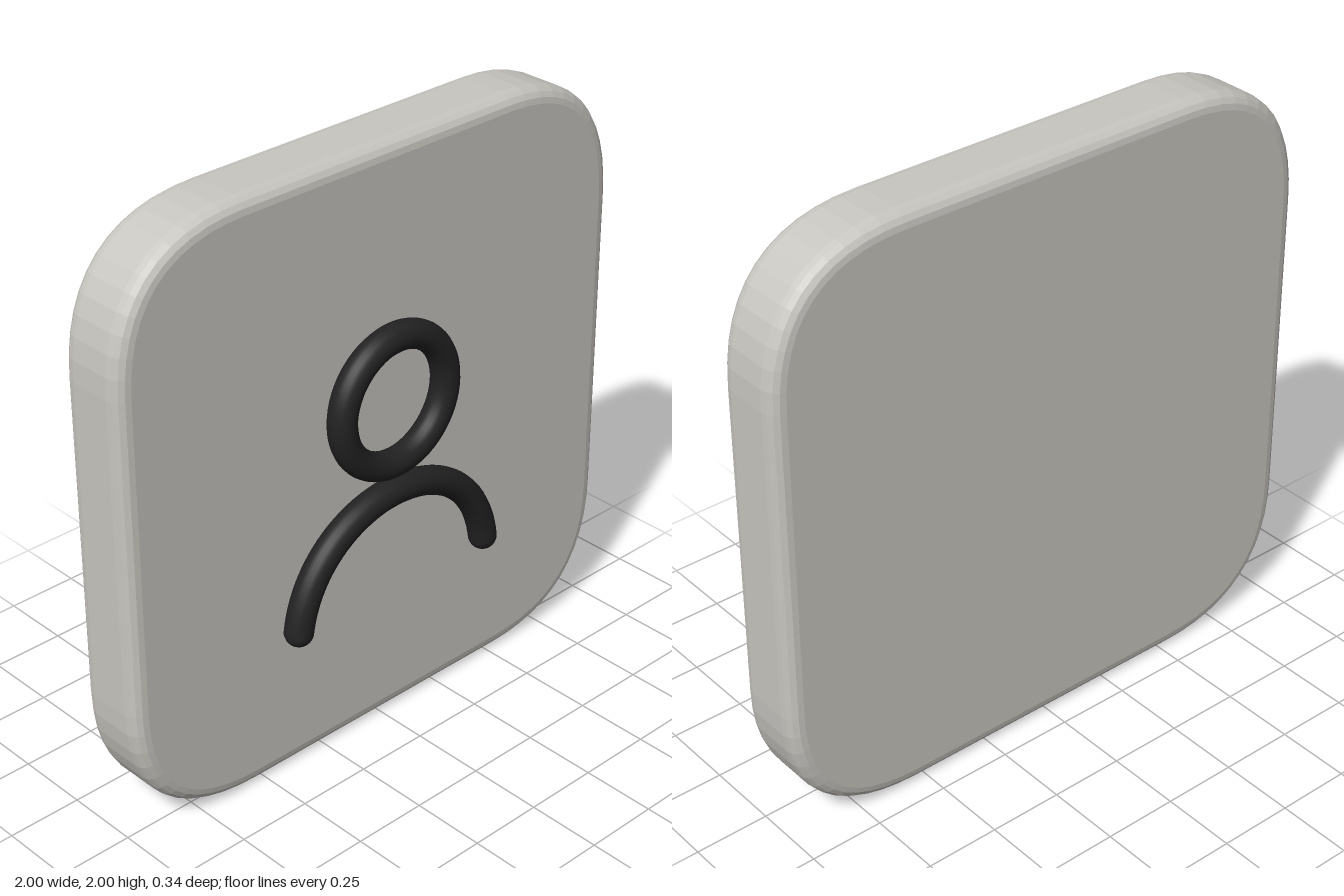
import * as THREE from 'three';

const stone = new THREE.MeshStandardMaterial({ color: 0xc8c6c0 });
stone.name = 'warm grey';
const ink = new THREE.MeshStandardMaterial({ color: 0x222222 });
ink.name = 'near black';

const BEVEL = 0.05, BACK = -0.172, FRONT = 0.072;
const TUBE = 0.047, ICON_Z = 0.123;

function add(parent, name, geometry, material, x = 0, y = 0, z = 0) {
  const mesh = new THREE.Mesh(geometry, material);
  mesh.name = name;
  mesh.position.set(x, y, z);
  parent.add(mesh);
  return mesh;
}

// Square outline with soft quadratic corners, centred on the origin
function softSquare(h, r) {
  const s = new THREE.Shape();
  s.moveTo(-h + r, -h);
  s.lineTo(h - r, -h);
  s.quadraticCurveTo(h, -h, h, -h + r);
  s.lineTo(h, h - r);
  s.quadraticCurveTo(h, h, h - r, h);
  s.lineTo(-h + r, h);
  s.quadraticCurveTo(-h, h, -h, h - r);
  s.lineTo(-h, -h + r);
  s.quadraticCurveTo(-h, -h, -h + r, -h);
  return s;
}

export function createModel() {
  const model = new THREE.Group();
  model.name = 'userTile';

  // Bevelled tile
  const tile = new THREE.ExtrudeGeometry(softSquare(1 - BEVEL, 0.42), {
    depth: FRONT - BACK - 2 * BEVEL,
    bevelEnabled: true,
    bevelSize: BEVEL,
    bevelThickness: BEVEL,
    bevelSegments: 4,
    curveSegments: 12,
  });
  add(model, 'tile', tile, stone, 0, 1, BACK + BEVEL);

  // Head ring
  add(model, 'headRing', new THREE.TorusGeometry(0.215, TUBE, 20, 64), ink, 0, 1.186, ICON_Z);

  // Shoulder arch with round ends
  const shoulders = new THREE.Group();
  shoulders.name = 'shoulders';
  shoulders.position.z = ICON_Z;
  model.add(shoulders);
  const arch = new THREE.CubicBezierCurve3(
    new THREE.Vector3(-0.4, 0.533, 0),
    new THREE.Vector3(-0.33, 0.983, 0),
    new THREE.Vector3(0.33, 0.983, 0),
    new THREE.Vector3(0.4, 0.533, 0),
  );
  add(shoulders, 'shoulderArch', new THREE.TubeGeometry(arch, 48, TUBE, 20), ink);
  for (const [name, x] of [['rightEnd', -0.4], ['leftEnd', 0.4]]) {
    add(shoulders, name, new THREE.SphereGeometry(TUBE, 20, 14), ink, x, 0.533);
  }

  return model;
}
